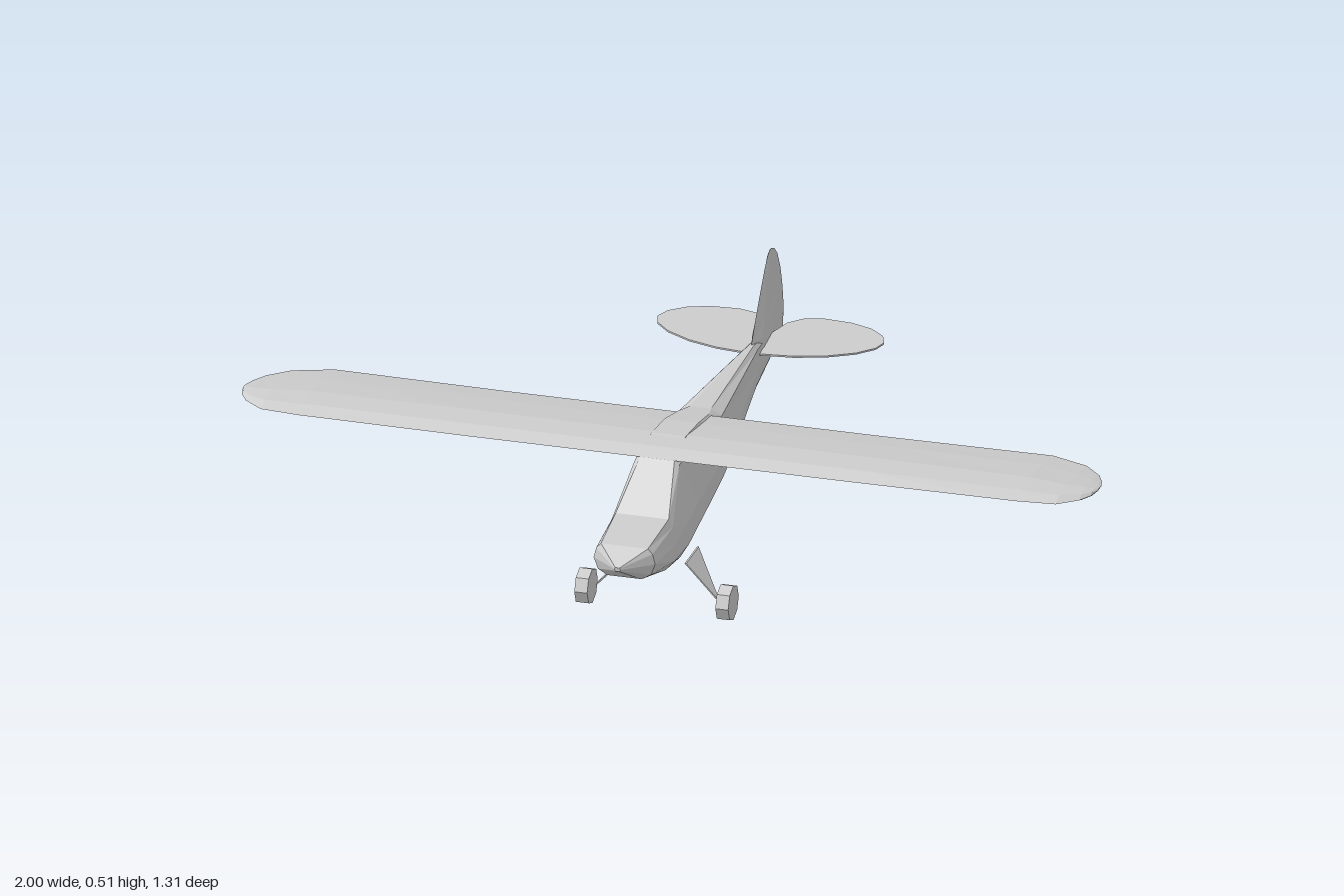
import * as THREE from 'three';

const grey = new THREE.MeshStandardMaterial({ color: 0xcccccc, flatShading: true, side: THREE.DoubleSide });

function mesh(name, geometry) {
  const m = new THREE.Mesh(geometry, grey);
  m.name = name;
  return m;
}

// Skin a list of closed rings; each ring runs counterclockwise seen from the end of the loft
function loft(rings) {
  const n = rings[0].length, pos = rings.flat(2), index = [];
  for (let i = 0; i < rings.length - 1; i++) {
    for (let j = 0; j < n; j++) {
      const k = (j + 1) % n, a = i * n + j, b = i * n + k;
      index.push(a, b, b + n, a, b + n, a + n);
    }
  }
  const last = (rings.length - 1) * n;
  for (let j = 1; j < n - 1; j++) {
    index.push(0, j + 1, j, last, last + j, last + j + 1);
  }
  const g = new THREE.BufferGeometry();
  g.setAttribute('position', new THREE.Float32BufferAttribute(pos, 3));
  g.setIndex(index);
  g.computeVertexNormals();
  return g;
}

// Fuselage: half-sections [z, then (half width, y) from belly to roof]
function fuselage() {
  const stations = [
    [-0.645, 0.001, 0.28, 0.001, 0.285, 0.001, 0.295, 0.001, 0.305, 0.001, 0.31],
    [-0.61, 0.002, 0.26, 0.003, 0.268, 0.004, 0.285, 0.003, 0.305, 0.002, 0.312],
    [-0.40, 0.010, 0.23, 0.015, 0.245, 0.017, 0.275, 0.015, 0.326, 0.006, 0.335],
    [0.00, 0.040, 0.17, 0.058, 0.20, 0.060, 0.25, 0.050, 0.338, 0.025, 0.352],
    [0.05, 0.043, 0.165, 0.061, 0.195, 0.063, 0.248, 0.053, 0.345, 0.035, 0.362],
    [0.15, 0.046, 0.155, 0.066, 0.187, 0.067, 0.243, 0.055, 0.362, 0.04, 0.383],
    [0.25, 0.050, 0.145, 0.070, 0.178, 0.071, 0.237, 0.055, 0.37, 0.04, 0.392],
    [0.34, 0.053, 0.135, 0.074, 0.17, 0.075, 0.23, 0.052, 0.362, 0.04, 0.372],
    [0.46, 0.055, 0.155, 0.077, 0.18, 0.078, 0.22, 0.072, 0.262, 0.062, 0.28],
    [0.60, 0.040, 0.19, 0.062, 0.203, 0.072, 0.23, 0.066, 0.254, 0.055, 0.266],
    [0.655, 0.004, 0.227, 0.006, 0.229, 0.007, 0.232, 0.006, 0.234, 0.005, 0.236],
  ];
  return loft(stations.map(([z, ...p]) => {
    const half = [];
    for (let i = 0; i < p.length; i += 2) half.push([p[i], p[i + 1], z]);
    return [...half, ...half.map(([x, y]) => [-x, y, z]).reverse()];
  }));
}

// Wing: one airfoil scaled along the span, shrinking at the rounded tips
function wing() {
  const foil = [[1, 0.358], [0.7, 0.376], [0.35, 0.391], [0.12, 0.387], [0, 0.372], [0.1, 0.359], [0.5, 0.355]];
  const half = [ // x, leading z, trailing z, thickness
    [0.06, 0.345, 0.05, 1], [0.45, 0.345, 0.05, 1], [0.84, 0.342, 0.05, 0.85], [0.93, 0.335, 0.09, 0.65],
    [0.975, 0.3, 0.14, 0.45], [0.993, 0.27, 0.18, 0.28], [1, 0.24, 0.21, 0.1],
  ];
  const span = [...half.map(([x, ...r]) => [-x, ...r]).reverse(), ...half];
  return loft(span.map(([x, front, back, t]) =>
    foil.map(([c, y]) => [x, 0.375 + (y - 0.375) * t, front + (back - front) * c])));
}

// Fin: thin lens sections stacked upward
function fin() {
  const rows = [ // y, front z, back z, half thickness
    [0.262, -0.56, -0.615, 0.003], [0.285, -0.45, -0.647, 0.009], [0.31, -0.40, -0.655, 0.014],
    [0.335, -0.40, -0.653, 0.013], [0.38, -0.43, -0.645, 0.009], [0.43, -0.467, -0.63, 0.006],
    [0.475, -0.503, -0.605, 0.004], [0.497, -0.525, -0.582, 0.003], [0.507, -0.545, -0.558, 0.001],
  ];
  return loft(rows.map(([y, f, b, t]) => {
    const m = f + (b - f) * 0.2;
    return [[0, y, f], [t, y, m], [0, y, b], [-t, y, m]];
  }));
}

// Horizontal tail half, outline given as x and z
function tailplane(side) {
  const outline = [
    [0.005, -0.415], [0.09, -0.425], [0.16, -0.447], [0.22, -0.482], [0.255, -0.52], [0.265, -0.555],
    [0.252, -0.59], [0.215, -0.622], [0.165, -0.64], [0.1, -0.645], [0.055, -0.633], [0.025, -0.6], [0.008, -0.54],
  ];
  const shape = new THREE.Shape(outline.map(([x, z]) => new THREE.Vector2(x * side, -z)));
  return new THREE.ExtrudeGeometry(shape, { depth: 0.004, bevelEnabled: false })
    .rotateX(-Math.PI / 2).translate(0, 0.305, 0);
}

// Triangular leg plate leaning outwards to the wheel
function leg(side) {
  const ring = (d) => [[0.066, 0.125, 0.25], [0.066, 0.125, 0.348], [0.138, 0.048, 0.348], [0.138, 0.048, 0.338]]
    .map(([x, y, z]) => [side * (x + d), y, z]);
  const rings = [ring(0), ring(0.004)];
  return loft(rings);
}

export function createModel() {
  const model = new THREE.Group();
  model.name = 'lightAeroplane';
  model.add(mesh('fuselage', fuselage()), mesh('wing', wing()), mesh('tailFin', fin()));

  for (const [label, side] of [['left', 1], ['right', -1]]) {
    model.add(mesh(label + 'Tailplane', tailplane(side)), mesh(label + 'Leg', leg(side)));
    const wheel = mesh(label + 'Wheel',
      new THREE.CylinderGeometry(0.042, 0.042, 0.03, 8).rotateZ(Math.PI / 2));
    wheel.position.set(side * 0.165, 0.042, 0.347);
    model.add(wheel);
  }
  return model;
}
